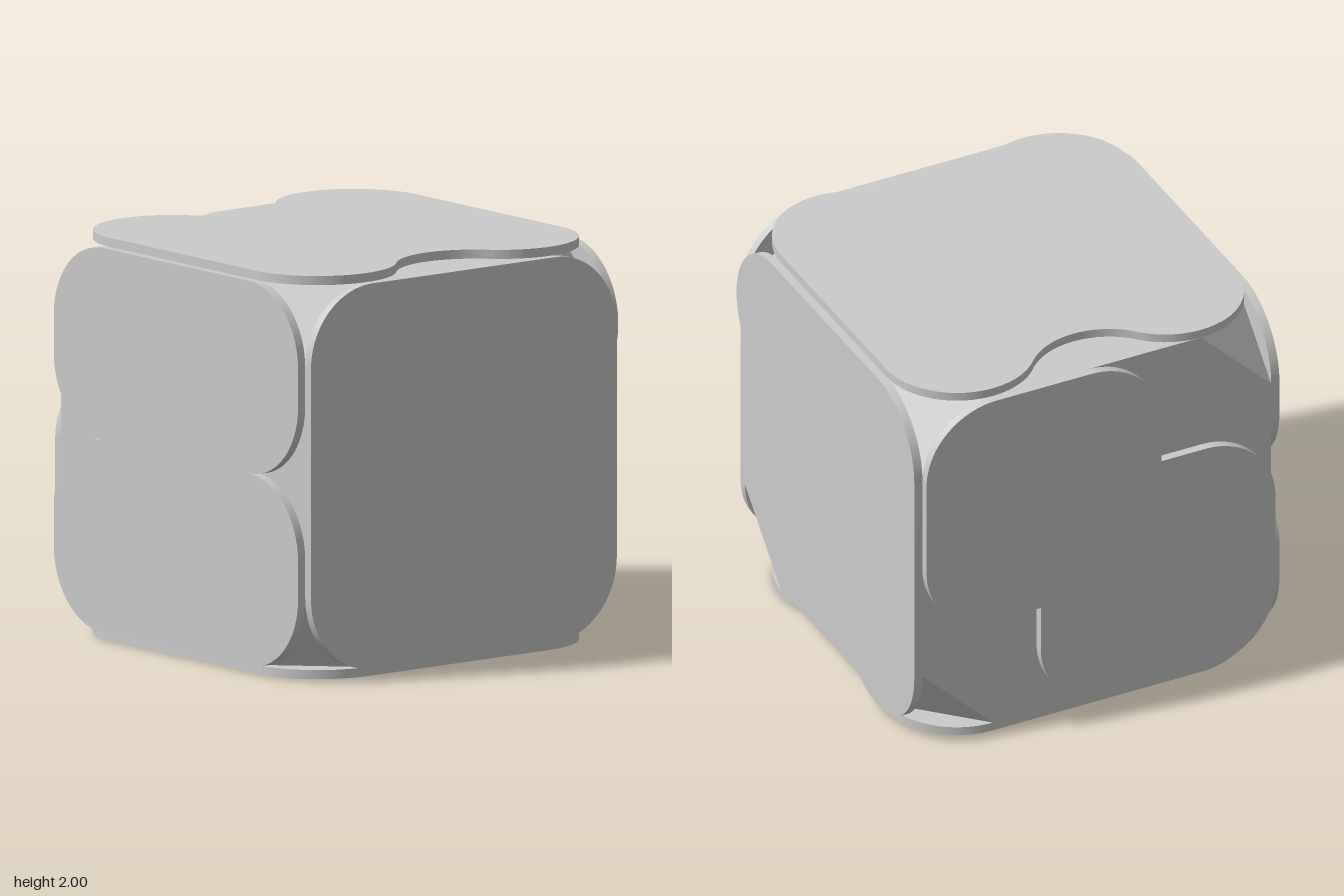
import * as THREE from 'three';
import { toCreasedNormals } from 'three/addons/utils/BufferGeometryUtils.js';
import { ConvexGeometry } from 'three/addons/geometries/ConvexGeometry.js';

const H = 0.955;        // half size of the inner body
const T = 0.045;        // plate thickness
const R = 0.385;        // radius of every rounded corner
const C = H - R;        // corner arc centre
const CUT = 0.33;       // inner corner of the stepped plate
const D = THREE.MathUtils.radToDeg(Math.asin(C / (2 * R))); // angle where lobes meet a notch
const N = C + Math.sqrt(4 * R * R - C * C);                 // notch arc centre

// Each entry is an arc [x, y, startDegrees, endDegrees, clockwise] or a corner point [x, y]
function outline(steps) {
  const shape = new THREE.Shape();
  for (const [x, y, a, b, clockwise = false] of steps) {
    if (a === undefined) shape.lineTo(x, y);
    else shape.absarc(x, y, R, THREE.MathUtils.degToRad(a), THREE.MathUtils.degToRad(b), clockwise);
  }
  return shape;
}

// Rounded corners in anticlockwise order
const bottomRight = [C, -C, -90, 0];
const topRight = [C, C, 0, 90];
const topLeft = [-C, C, 90, 180];
const bottomLeft = [-C, -C, 180, 270];
const inner = CUT - R;

const plates = [
  // Two rounded lobes joined at the waist
  { name: 'frontPlate', turn: [0, 0, 0], steps: [
    bottomRight, [C, -R, 0, 90], [C, R, -90, 0], topRight,
    topLeft, [-C, R, 180, 270], [-C, -R, 90, 180], bottomLeft] },
  // One corner sliced off along the diagonal
  { name: 'backPlate', turn: [0, Math.PI, 0], steps: [
    [C, -C, -135, 0], topRight, [-C, C, 90, 225]] },
  // Plain rounded square
  { name: 'leftPlate', turn: [0, Math.PI / 2, 0], steps: [
    bottomRight, topRight, topLeft, bottomLeft] },
  // Stepped shape with two opposite corners missing
  { name: 'rightPlate', turn: [0, -Math.PI / 2, 0], steps: [
    bottomRight, [C, inner, 0, 90], [CUT, CUT], [inner, C, 0, 90],
    topLeft, [-C, -inner, 180, 270], [-CUT, -CUT], [-inner, -C, 180, 270]] },
  // Round notches on two sides
  { name: 'topPlate', turn: [-Math.PI / 2, 0, 0], steps: [
    [C, -C, -90, D], [N, 0, 180 + D, 180 - D, true], [C, C, -D, 90],
    [-C, C, 90, 180 + D], [-N, 0, D, -D, true], [-C, -C, 180 - D, 270]] },
  // Round notch on the back side
  { name: 'bottomPlate', turn: [Math.PI / 2, 0, 0], steps: [
    [C, -C, 270 - D, 360], topRight, topLeft,
    [-C, -C, 180, 270 + D], [0, -N, 90 + D, 90 - D, true]] },
];

export function createModel() {
  const group = new THREE.Group();
  const material = new THREE.MeshStandardMaterial({ color: 0xcccccc });

  const add = (name, geometry) => {
    const mesh = new THREE.Mesh(geometry, material);
    mesh.name = name;
    mesh.position.y = 1;
    group.add(mesh);
    return mesh;
  };

  // Inner body: cube with its eight corners cut flat
  const corners = [];
  for (const x of [-1, 1]) for (const y of [-1, 1]) for (const z of [-1, 1]) {
    corners.push(
      new THREE.Vector3(x * C, y * H, z * H),
      new THREE.Vector3(x * H, y * C, z * H),
      new THREE.Vector3(x * H, y * H, z * C));
  }
  add('innerBody', new ConvexGeometry(corners));

  // Six flat plates, one on each side
  for (const { name, turn, steps } of plates) {
    const plate = new THREE.ExtrudeGeometry(outline(steps), {
      depth: T, bevelEnabled: false, curveSegments: 24 });
    plate.translate(0, 0, H);
    add(name, toCreasedNormals(plate, 0.5)).rotation.set(...turn);
  }
  return group;
}
